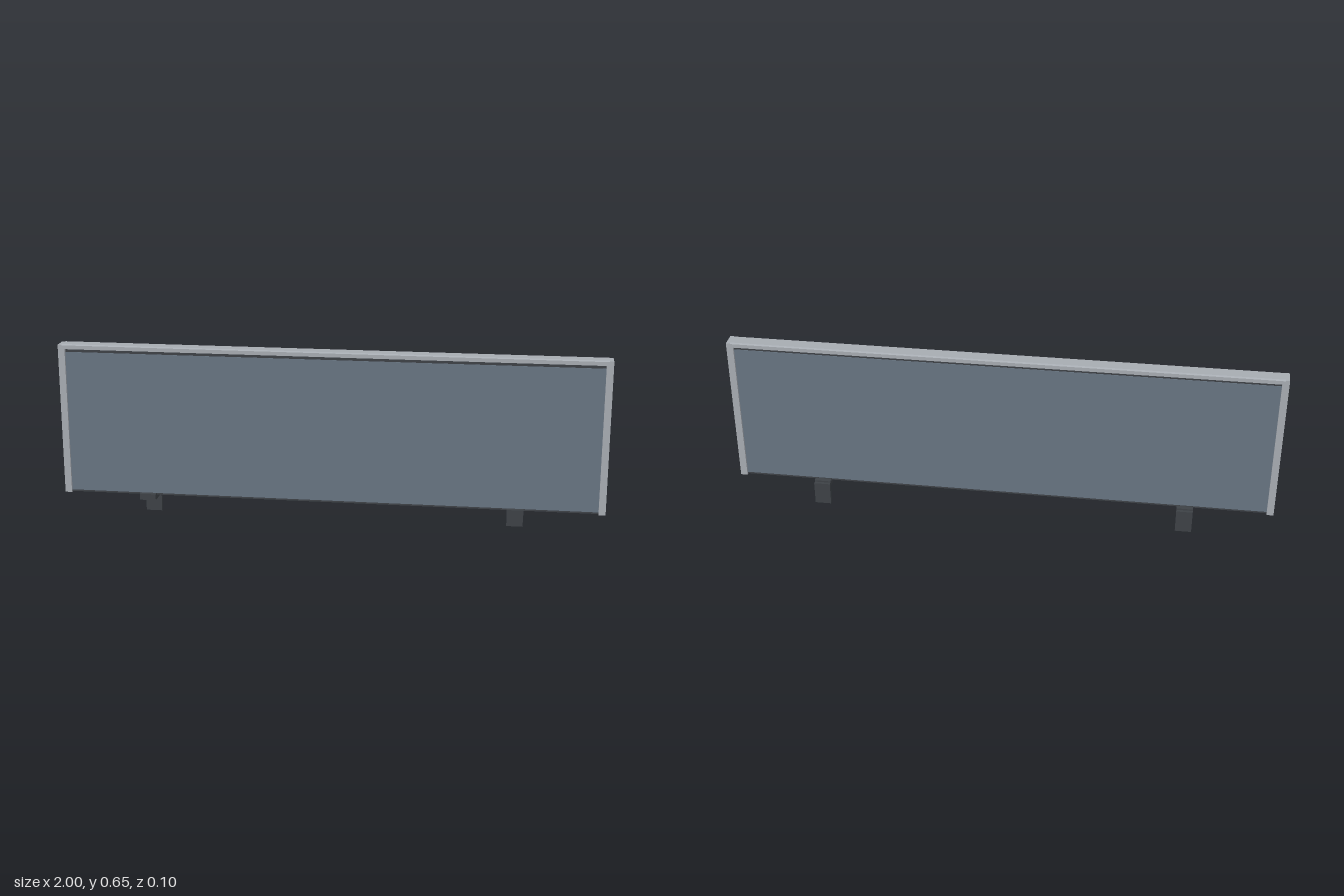
import * as THREE from 'three';

const mat = (name, color, extra = {}) => Object.assign(new THREE.MeshStandardMaterial({ color, ...extra }), { name });

export function createModel() {
  const model = new THREE.Group();
  model.name = 'deskDivider';
  const aluminium = mat('aluminium', 0xa6abb1);
  const fabric = mat('slate fabric', 0x667380);
  const charcoal = mat('charcoal', 0x3d4146);

  // Box given by its minimum and maximum on each axis
  const box = (name, material, [x0, x1], [y0, y1], [z0, z1], parent = model) => {
    const mesh = new THREE.Mesh(new THREE.BoxGeometry(x1 - x0, y1 - y0, z1 - z0), material);
    mesh.position.set((x0 + x1) / 2, (y0 + y1) / 2, (z0 + z1) / 2);
    mesh.name = name;
    parent.add(mesh);
    return mesh;
  };

  // Padded screen with its dark edge trim above and below
  box('screenPanel', fabric, [-0.976, 0.976], [0.09, 0.62], [-0.014, 0.026]);
  box('topTrim', charcoal, [-0.976, 0.976], [0.62, 0.633], [-0.012, 0.024]);
  box('bottomTrim', charcoal, [-0.976, 0.976], [0.084, 0.09], [-0.014, 0.026]);

  // Top rail: a shallow bevelled profile drawn in z and y, run along x
  const profile = new THREE.Shape([
    [-0.022, 0.632], [0.034, 0.632], [0.034, 0.646], [0.029, 0.65], [-0.017, 0.65], [-0.022, 0.646],
  ].map(([z, y]) => new THREE.Vector2(-z, y)));
  const railGeometry = new THREE.ExtrudeGeometry(profile, { depth: 1.97, bevelEnabled: false });
  railGeometry.translate(0, 0, -0.985).rotateY(Math.PI / 2);
  const rail = new THREE.Mesh(railGeometry, aluminium);
  rail.name = 'topRail';
  model.add(rail);

  for (const side of [-1, 1]) {
    const span = (a, b) => (side > 0 ? [a, b] : [-b, -a]);
    const label = side > 0 ? 'left' : 'right';

    // Upright end post: outer cap and inner lip
    box(label + 'PostCap', aluminium, span(0.985, 1), [0.082, 0.648], [-0.022, 0.034]);
    box(label + 'PostLip', aluminium, span(0.975, 0.985), [0.082, 0.632], [-0.022, 0.034]);

    // Mounting bracket: shallow tray under the screen and a leg behind
    const bracket = new THREE.Group();
    bracket.name = label + 'Bracket';
    model.add(bracket);
    const width = span(0.648, 0.708);
    box('trayBase', charcoal, width, [0.07, 0.084], [-0.04, 0.052], bracket);
    box('trayFrontLip', charcoal, width, [0.084, 0.093], [0.034, 0.052], bracket);
    box('trayBackLip', charcoal, width, [0.084, 0.093], [-0.04, -0.022], bracket);
    box('rearLeg', charcoal, width, [0, 0.087], [-0.051, -0.036], bracket);
  }
  return model;
}
